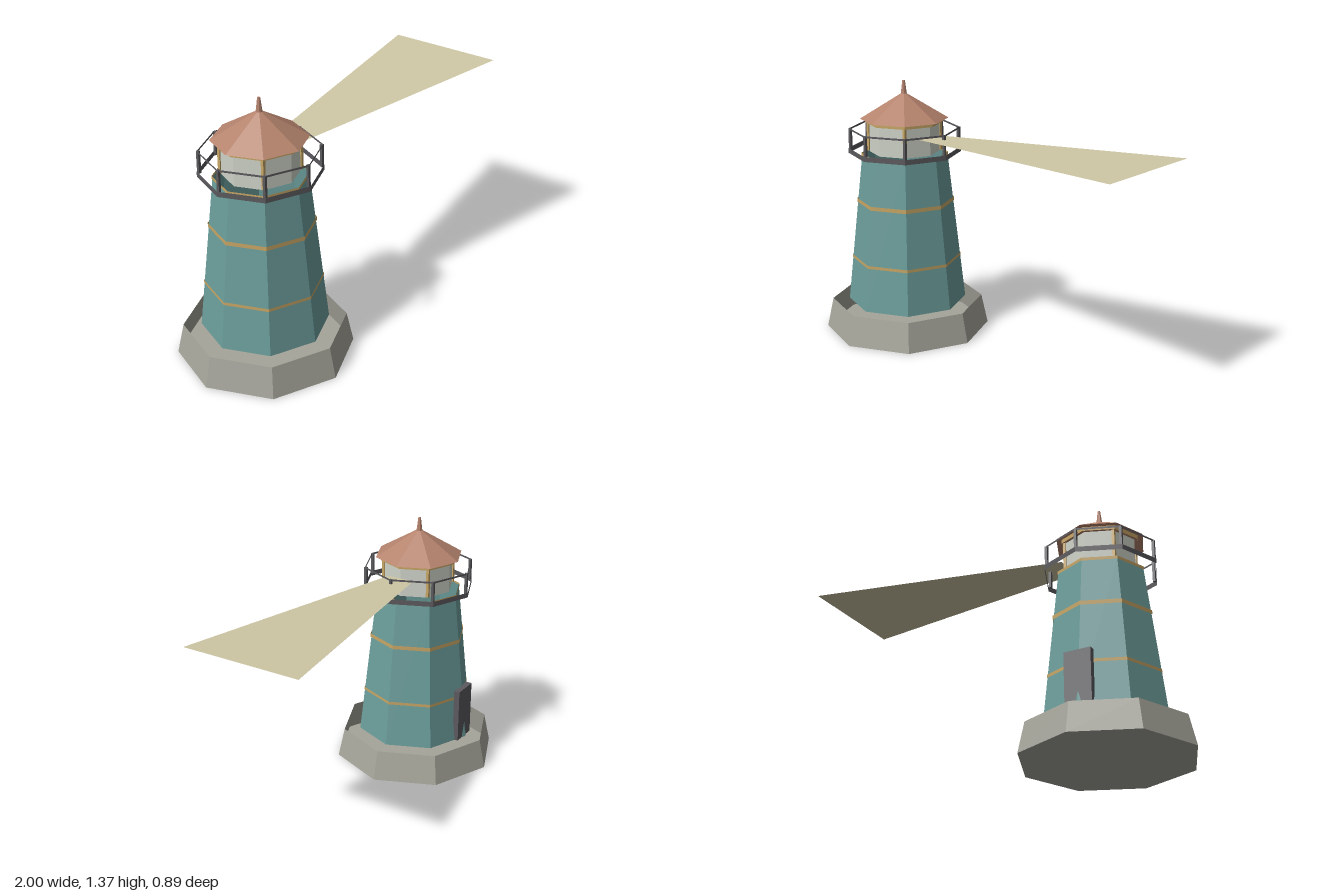
import * as THREE from 'three';

const mat = (name, color) => {
  const m = new THREE.MeshStandardMaterial({ color, flatShading: true, side: THREE.DoubleSide });
  m.name = name;
  return m;
};

export function createModel() {
  const stone = mat('stone', 0xa6a59b);
  const teal = mat('teal', 0x6b9d9b);
  const gold = mat('gold', 0xc9a766);
  const iron = mat('iron', 0x5c5a5e);
  const glass = mat('glass', 0xd0d4c9);
  const copper = mat('copper', 0xb5836d);
  const light = mat('light', 0xcfc8a6);

  const model = new THREE.Group();
  const house = new THREE.Group();
  house.name = 'lighthouse';
  house.position.x = -0.555;
  model.add(house);

  const add = (name, geometry, material, x = 0, y = 0, z = 0) => {
    const mesh = new THREE.Mesh(geometry, material);
    mesh.name = name;
    mesh.position.set(x, y, z);
    house.add(mesh);
    return mesh;
  };
  // open eight-sided shell between two heights
  const shell = (name, y0, y1, r0, r1, material, sides = 8) =>
    add(name, new THREE.CylinderGeometry(r1, r0, y1 - y0, sides, 1, true), material, 0, (y0 + y1) / 2);

  // plinth: hollow tray with a floor
  shell('plinth', 0, 0.16, 0.445, 0.41, stone);
  const floor = new THREE.CircleGeometry(0.445, 8);
  floor.rotateX(Math.PI / 2);
  add('plinthFloor', floor, stone);

  // tower and its trim bands
  shell('tower', 0.16, 0.975, 0.32, 0.228, teal);
  shell('lowerBand', 0.396, 0.412, 0.295, 0.295, gold);
  shell('middleBand', 0.711, 0.732, 0.262, 0.262, gold);
  shell('upperBand', 0.966, 0.982, 0.232, 0.232, gold);
  add('door', new THREE.BoxGeometry(0.14, 0.295, 0.032), iron, 0, 0.3075, -0.294);

  // gallery with railing
  shell('gallery', 0.982, 1.009, 0.3, 0.3, iron);
  shell('rail', 1.107, 1.117, 0.293, 0.293, iron);
  for (let i = 0; i < 8; i++) {
    const a = (i * Math.PI) / 4;
    add('railPost', new THREE.BoxGeometry(0.014, 0.115, 0.014), iron,
      0.288 * Math.sin(a), 1.058, 0.288 * Math.cos(a));
  }

  // lantern room
  shell('lanternGlass', 0.99, 1.15, 0.188, 0.188, glass);
  for (let i = 0; i < 4; i++) {
    const a = ((i + 0.5) * Math.PI) / 2;
    add('mullion', new THREE.BoxGeometry(0.015, 0.155, 0.015), gold,
      0.19 * Math.sin(a), 1.072, 0.19 * Math.cos(a));
  }
  shell('lanternCornice', 1.147, 1.168, 0.207, 0.207, gold);

  // roof and finial
  shell('roof', 1.167, 1.306, 0.235, 0.006, copper);
  add('finial', new THREE.CylinderGeometry(0.007, 0.016, 0.07, 8), copper, 0, 1.335, 0);

  // light beam: a flat, slightly rising sheet widening away from the lantern
  const beam = new THREE.BufferGeometry();
  beam.setAttribute('position', new THREE.Float32BufferAttribute([
    0.185, 1.087, -0.075, 0.185, 1.087, 0.075,
    1.555, 1.137, 0.315, 1.555, 1.137, -0.315], 3));
  beam.setIndex([0, 1, 2, 0, 2, 3]);
  beam.computeVertexNormals();
  add('lightBeam', beam, light);

  return model;
}
